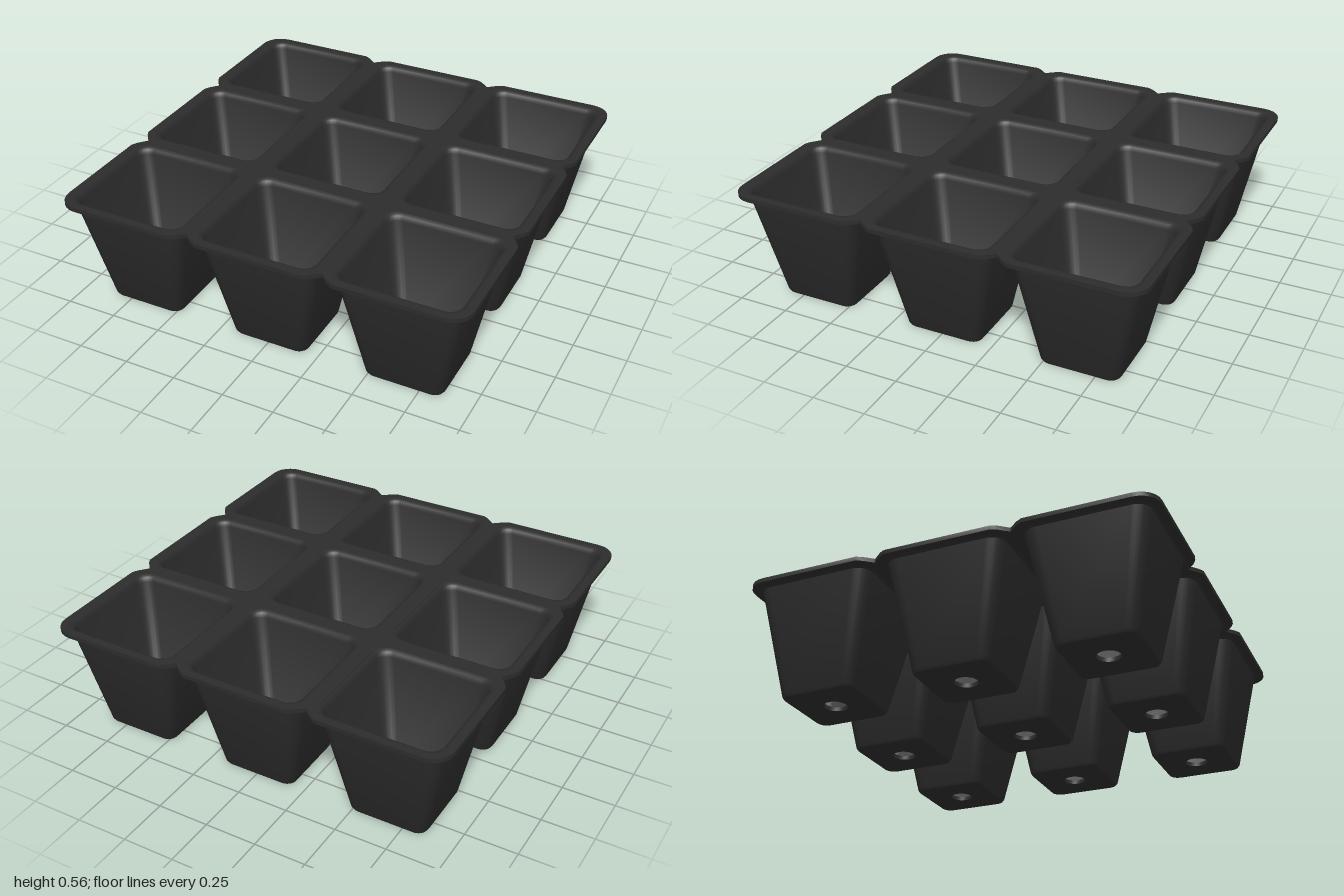
import * as THREE from 'three';
import { toCreasedNormals } from 'three/addons/utils/BufferGeometryUtils.js';

const PITCH = 2 / 3, CELLS = [-PITCH, 0, PITCH];
const TOP = 0.555, RIM = 0.02, ARC = 6;

// Rounded square, counter-clockwise; radius equal to half gives a circle
function roundedSquare(half, r, cx = 0, cy = 0) {
  const pts = [];
  for (let k = 0; k < 4; k++) {
    const mid = Math.PI / 4 + k * Math.PI / 2;
    const ox = Math.sign(Math.cos(mid)) * (half - r), oy = Math.sign(Math.sin(mid)) * (half - r);
    for (let i = 0; i <= ARC; i++) {
      const a = (k + i / ARC) * Math.PI / 2;
      pts.push(new THREE.Vector2(cx + ox + r * Math.cos(a), cy + oy + r * Math.sin(a)));
    }
  }
  return pts;
}

// Outline of the tray: rounded corners and a small notch between cells
function trayOutline() {
  const notch = [[1, -0.072], [0.985, -0.044], [0.948, 0], [0.985, 0.044], [1, 0.072]];
  const side = [];
  for (const c of [-PITCH / 2, PITCH / 2]) for (const [x, d] of notch) side.push([x, c + d]);
  const r = 0.1;
  for (let i = 0; i <= ARC; i++) {
    const a = i / ARC * Math.PI / 2;
    side.push([1 - r + r * Math.cos(a), 1 - r + r * Math.sin(a)]);
  }
  const pts = [];
  for (let k = 0; k < 4; k++) {
    for (const [x, y] of side) {
      pts.push(new THREE.Vector2(x, y).rotateAround(new THREE.Vector2(), k * Math.PI / 2));
    }
  }
  return pts;
}

// Skin through rounded-square rings given as [half, radius, y]
function loft(rings) {
  const pos = [], index = [], n = 4 * (ARC + 1);
  rings.forEach(([half, r, y], i) => {
    for (const p of roundedSquare(half, r)) pos.push(p.x, y, -p.y);
    if (i === 0) return;
    for (let j = 0; j < n; j++) {
      const a = (i - 1) * n + j, b = (i - 1) * n + (j + 1) % n;
      index.push(a, a + n, b, b, a + n, b + n);
    }
  });
  const g = new THREE.BufferGeometry();
  g.setAttribute('position', new THREE.Float32BufferAttribute(pos, 3));
  g.setIndex(index);
  return toCreasedNormals(g, 0.7);
}

export function createModel() {
  const group = new THREE.Group();
  group.name = 'seedTray';
  const plastic = new THREE.MeshStandardMaterial({ color: 0x2c2c2c });
  plastic.name = 'blackPlastic';

  // Rim plate with nine openings
  const shape = new THREE.Shape(trayOutline());
  for (const x of CELLS) for (const z of CELLS) {
    shape.holes.push(new THREE.Path(roundedSquare(0.297, 0.07, x, z)));
  }
  const bevel = 0.005;
  const rimGeometry = new THREE.ExtrudeGeometry(shape, {
    depth: RIM - 2 * bevel, bevelThickness: bevel, bevelSize: 0.008, bevelOffset: -0.008 + 0.008, bevelSegments: 1
  });
  rimGeometry.dispose();
  const plate = new THREE.ExtrudeGeometry(shape, { depth: RIM, bevelEnabled: false });
  plate.rotateX(-Math.PI / 2);
  const rim = new THREE.Mesh(toCreasedNormals(plate, 0.7), plastic);
  rim.name = 'rim';
  rim.position.y = TOP - RIM;
  group.add(rim);

  // Cup: outer wall, base, drain hole, inner floor, inner wall, lip
  const cupGeometry = loft([
    [0.298, 0.071, TOP - RIM],
    [0.288, 0.07, 0.528],
    [0.19, 0.052, 0.012],
    [0.182, 0.046, 0],
    [0.055, 0.055, 0],
    [0.055, 0.055, 0.02],
    [0.165, 0.04, 0.02],
    [0.176, 0.05, 0.034],
    [0.272, 0.06, 0.525],
    [0.279, 0.064, 0.545],
    [0.287, 0.068, 0.552],
    [0.298, 0.071, TOP]
  ]);
  for (const x of CELLS) for (const z of CELLS) {
    const cup = new THREE.Mesh(cupGeometry, plastic);
    cup.name = 'cup';
    cup.position.set(x, 0, z);
    group.add(cup);
  }
  return group;
}
